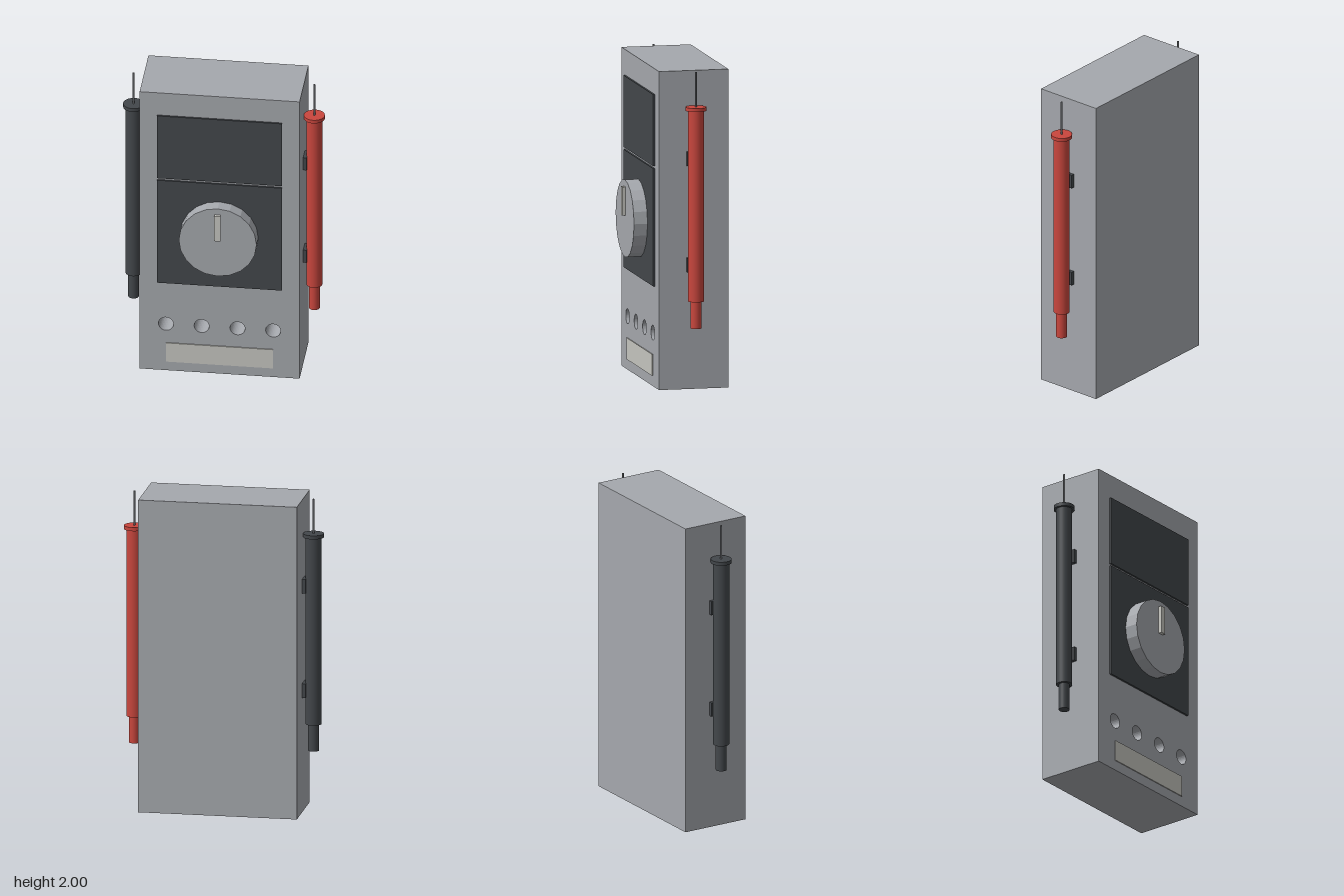
import * as THREE from 'three';

const mat = (name, color, extra = {}) =>
  Object.assign(new THREE.MeshStandardMaterial({ color, ...extra }), { name });

export function createModel() {
  const casing = mat('casing grey', 0xa5a8ad);
  const dark = mat('charcoal', 0x43474b);
  const red = mat('probe red', 0xc9463d);
  const pale = mat('pale label', 0xc6c6c0);
  const steel = mat('needle steel', 0x75787c);

  const model = new THREE.Group();
  model.name = 'multimeter';

  const add = (parent, name, geometry, material, x = 0, y = 0, z = 0) => {
    const mesh = new THREE.Mesh(geometry, material);
    mesh.name = name;
    mesh.position.set(x, y, z);
    parent.add(mesh);
    return mesh;
  };
  // box given by its limits on each axis
  const box = (parent, name, material, [x0, x1], [y0, y1], [z0, z1]) =>
    add(parent, name, new THREE.BoxGeometry(x1 - x0, y1 - y0, z1 - z0), material,
      (x0 + x1) / 2, (y0 + y1) / 2, (z0 + z1) / 2);

  const BACK = -0.28, MID = -0.04, FRONT = 0.162;

  // Casing: solid back half, front half pierced by four sockets
  box(model, 'casingBack', casing, [-0.5, 0.5], [0, 2], [BACK, MID]);
  const face = new THREE.Shape([[-0.5, 0], [0.5, 0], [0.5, 2], [-0.5, 2]]
    .map(([x, y]) => new THREE.Vector2(x, y)));
  for (const x of [-0.335, -0.112, 0.112, 0.335]) {
    face.holes.push(new THREE.Path().absarc(x, 0.335, 0.047, 0, Math.PI * 2, true));
  }
  add(model, 'casingFront', new THREE.ExtrudeGeometry(face,
    { depth: FRONT - MID, bevelEnabled: false, curveSegments: 16 }), casing, 0, 0, MID);

  // Front panels and label
  box(model, 'screen', dark, [-0.39, 0.39], [1.39, 1.84], [FRONT, 0.174]);
  box(model, 'dialPanel', dark, [-0.39, 0.39], [0.635, 1.375], [FRONT, 0.174]);
  box(model, 'label', pale, [-0.335, 0.335], [0.065, 0.2], [FRONT, 0.168]);

  // Faceted selector dial with its pointer
  const dialMaterial = mat('dial grey', 0xa5a8ad, { flatShading: true });
  const dial = new THREE.CylinderGeometry(0.243, 0.243, 0.09, 20).rotateX(Math.PI / 2);
  add(model, 'dial', dial, dialMaterial, 0, 1.005, 0.215);
  box(model, 'dialPointer', pale, [-0.019, 0.019], [1.025, 1.205], [0.255, 0.28]);

  // Test probes, each held by two clips
  for (const [side, name, colour] of [[1, 'leftProbe', red], [-1, 'rightProbe', dark]]) {
    const probe = new THREE.Group();
    probe.name = name;
    probe.position.set(side * 0.565, 0, -0.058);
    model.add(probe);
    const rod = (part, radius, y0, y1, material, sides = 32) =>
      add(probe, part, new THREE.CylinderGeometry(radius, radius, y1 - y0, sides),
        material, 0, (y0 + y1) / 2, 0);
    rod('probeTail', 0.034, 0.39, 0.56, colour);
    rod('probeHandle', 0.05, 0.56, 1.757, colour);
    rod('probeCollar', 0.065, 1.757, 1.78, colour);
    rod('probeNeedle', 0.006, 1.78, 2, steel, 12);

    for (const y of [0.78, 1.448]) {
      add(model, 'probeClip', new THREE.BoxGeometry(0.022, 0.09, 0.09), dark,
        side * 0.511, y, -0.058);
    }
  }
  return model;
}
